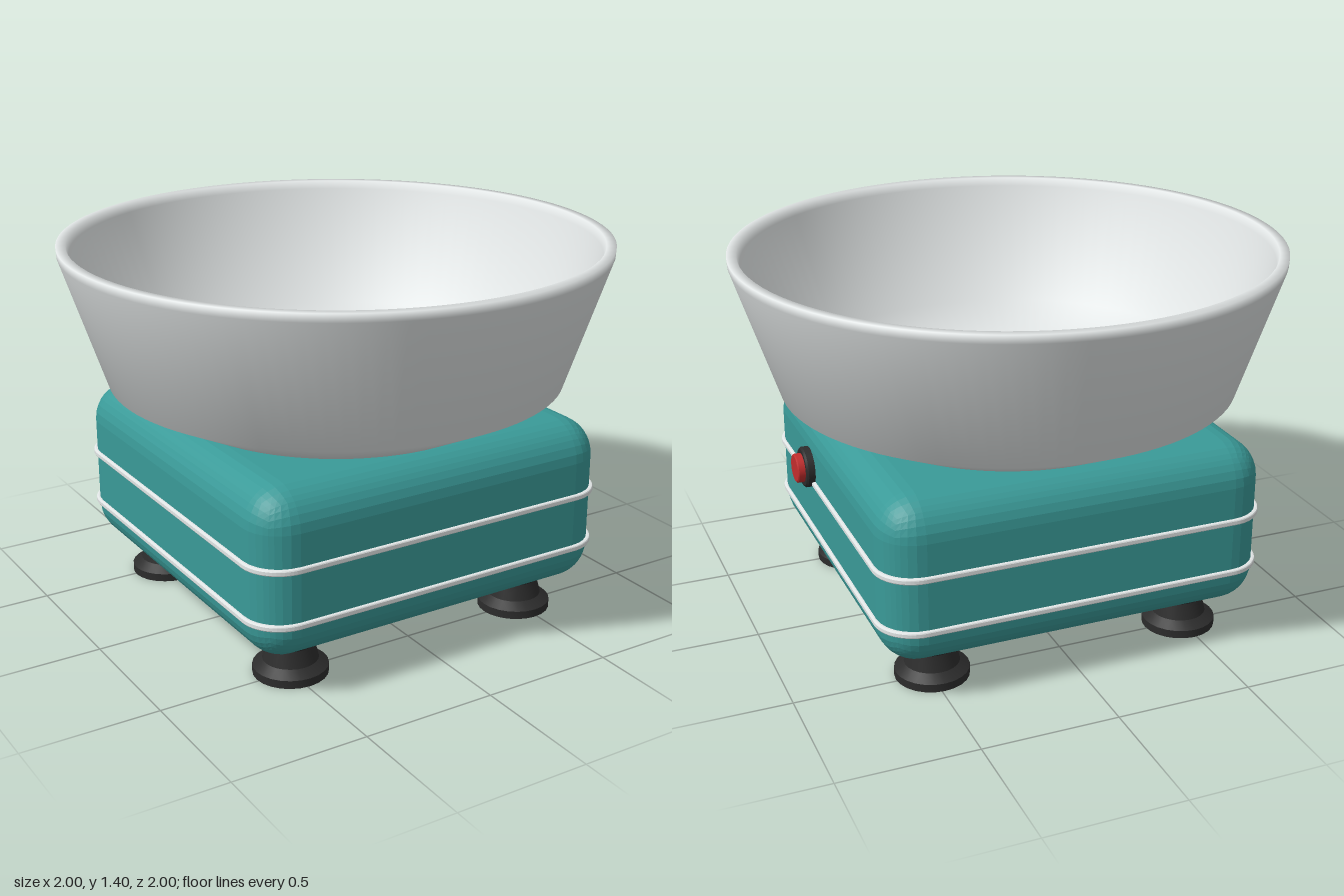
import * as THREE from 'three';
import { toCreasedNormals } from 'three/addons/utils/BufferGeometryUtils.js';
import { RoundedBoxGeometry } from 'three/addons/geometries/RoundedBoxGeometry.js';

const material = (name, color) => Object.assign(new THREE.MeshStandardMaterial({ color }), { name });

export function createModel() {
  const group = new THREE.Group();
  group.name = 'kitchenScale';
  const steel = material('brushed steel', 0xe2e6e6);
  const teal = material('teal enamel', 0x3a9a98);
  const black = material('black rubber', 0x2c2c2c);
  const red = material('red button', 0xc22d2d);

  const add = (name, geometry, mat, x = 0, y = 0, z = 0) => {
    const mesh = new THREE.Mesh(geometry, mat);
    mesh.name = name;
    mesh.position.set(x, y, z);
    group.add(mesh);
    return mesh;
  };
  // Turned parts; the profile runs from the bottom, up the outside, then inwards
  const lathe = (profile, segments) =>
    new THREE.LatheGeometry(profile.map(([r, y]) => new THREE.Vector2(r, y)), segments);
  const turned = (profile, segments) => toCreasedNormals(lathe(profile, segments), 0.5);

  // Housing: faceted rounded box
  const housing = new RoundedBoxGeometry(1.43, 0.625, 1.43, 4, 0.14);
  housing.computeVertexNormals();
  add('housing', housing, teal, 0, 0.4565, 0);
  add('basePlate', new THREE.BoxGeometry(1.16, 0.012, 1.16), black, 0, 0.142, 0);

  // Trim bands: thin bevelled rounded squares around the housing
  const half = 0.72, r = 0.14, c = half - r;
  const outline = new THREE.Shape();
  [[c, c], [-c, c], [-c, -c], [c, -c]].forEach(([x, y], i) =>
    outline.absarc(x, y, r, i * Math.PI / 2, (i + 1) * Math.PI / 2, false));
  const band = new THREE.ExtrudeGeometry(outline, {
    depth: 0.012, bevelThickness: 0.005, bevelSize: 0.007, bevelSegments: 2, curveSegments: 8,
  });
  band.rotateX(-Math.PI / 2);
  for (const y of [0.298, 0.5]) add('trimBand', band, steel, 0, y - 0.006, 0);

  // Feet
  const foot = turned([[0, 0], [0.135, 0], [0.135, 0.03], [0.1, 0.055], [0.085, 0.115],
    [0.105, 0.14], [0.105, 0.155], [0, 0.155]], 24);
  for (const x of [-0.49, 0.49])
    for (const z of [-0.49, 0.49]) add('foot', foot, black, x, 0, z);

  // Side button with its collar
  const collar = turned([[0, 0], [0.077, 0], [0.077, 0.035], [0.07, 0.042], [0, 0.042]], 32);
  const button = turned([[0, 0], [0.055, 0], [0.055, 0.066], [0.05, 0.07], [0, 0.07]], 32);
  add('buttonCollar', collar, black, 0.705, 0.547, 0.215).rotation.z = -Math.PI / 2;
  add('button', button, red, 0.705, 0.547, 0.215).rotation.z = -Math.PI / 2;

  // Bowl: softly shaded thin shell with a flat lip and a hole for the hub
  add('bowl', lathe([
    [0.22, 0.762], [0.6, 0.765], [0.84, 0.885], [0.998, 1.365], [1, 1.396],
    [0.965, 1.396], [0.955, 1.365], [0.805, 0.915], [0.57, 0.8], [0.23, 0.795], [0.22, 0.762],
  ], 96), steel);

  // Hub standing in the bowl, with a recess and a centre pin
  add('hub', turned([[0.23, 0.76], [0.23, 0.98], [0.08, 0.98], [0.08, 0.95], [0.03, 0.95],
    [0.03, 0.99], [0, 0.99]], 48), steel);

  return group;
}
